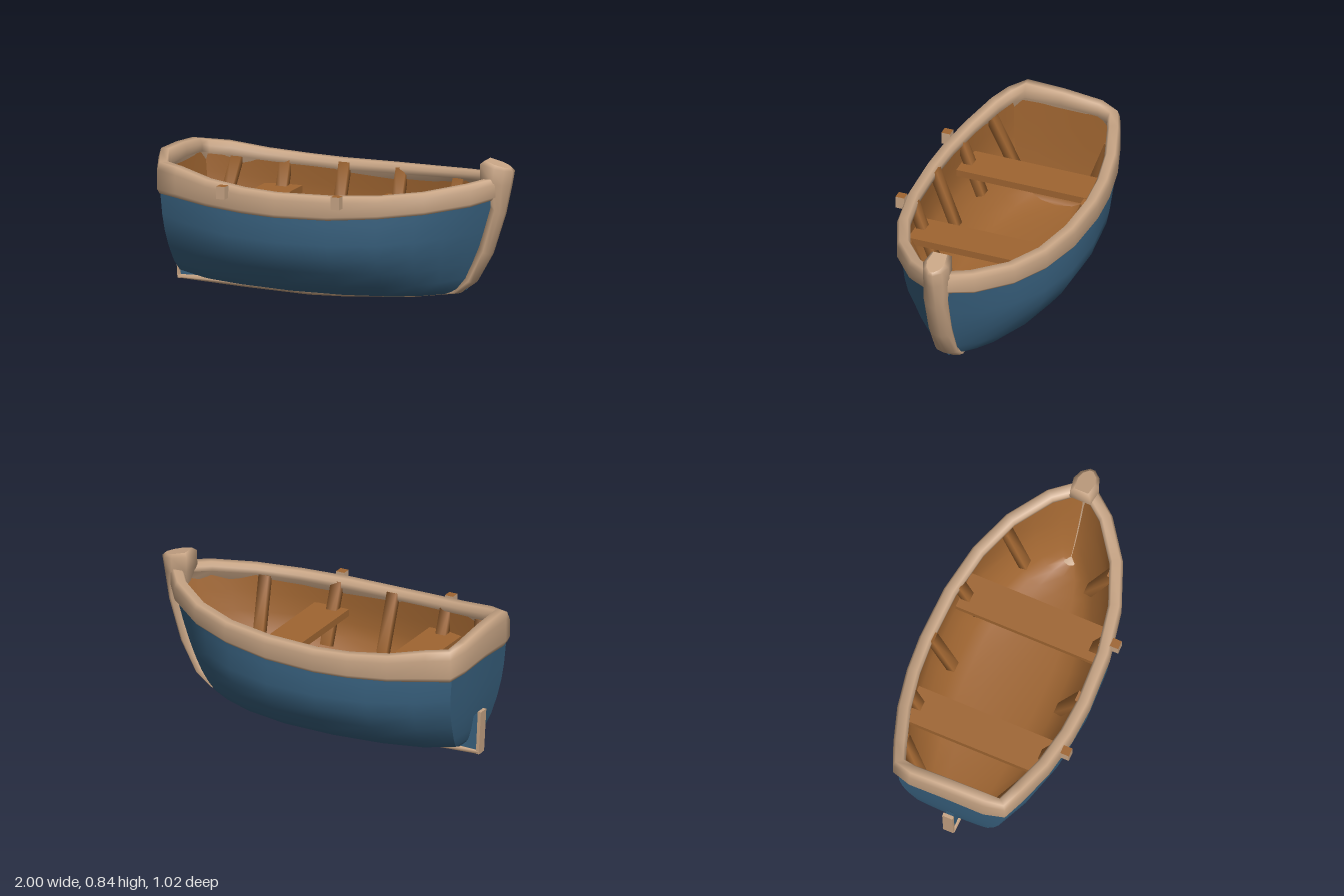
import * as THREE from 'three';

const paint = (name, color) => {
  const m = new THREE.MeshStandardMaterial({ color, side: THREE.DoubleSide });
  m.name = name;
  return m;
};
const V = (x, y, z) => new THREE.Vector3(x, y, z);
const lerp = THREE.MathUtils.lerp;

// Skin a list of equal-length cross-sections; closed rings are capped at both ends
function loft(rings, closed = false) {
  const n = rings[0].length, pos = [], idx = [];
  const add = (p) => pos.push(p.x, p.y, p.z);
  rings.forEach((r) => r.forEach(add));
  for (let i = 0; i < rings.length - 1; i++) {
    for (let j = 0; j < (closed ? n : n - 1); j++) {
      const a = i * n + j, b = i * n + ((j + 1) % n);
      idx.push(a, b, b + n, a, b + n, a + n);
    }
  }
  if (closed) {
    [rings[0], rings[rings.length - 1]].forEach((r, end) => {
      const base = pos.length / 3;
      r.forEach(add);
      for (let j = 1; j < n - 1; j++) {
        idx.push(base, base + (end ? j : j + 1), base + (end ? j + 1 : j));
      }
    });
  }
  const g = new THREE.BufferGeometry();
  g.setAttribute('position', new THREE.Float32BufferAttribute(pos, 3));
  g.setIndex(idx);
  g.computeVertexNormals();
  return g;
}

// Hull stations: bottom x, top x, half width, bottom y, top y, sharpness, rake curve
const STATIONS = [
  [-0.87, -0.975, 0.31, 0.08, 0.68, 0.1, 0.4],
  [-0.72, -0.77, 0.385, 0.06, 0.655, 0.04, 0.6],
  [-0.5, -0.5, 0.45, 0.055, 0.62, 0, 0.8],
  [-0.2, -0.2, 0.483, 0.05, 0.61, 0, 0.8],
  [0.1, 0.1, 0.475, 0.052, 0.615, 0, 0.8],
  [0.34, 0.37, 0.425, 0.06, 0.63, 0.05, 0.8],
  [0.5, 0.57, 0.342, 0.07, 0.65, 0.12, 0.8],
  [0.6, 0.72, 0.255, 0.08, 0.67, 0.22, 0.75],
  [0.67, 0.85, 0.138, 0.09, 0.69, 0.4, 0.7],
  [0.71, 0.94, 0.035, 0.1, 0.7, 0.6, 0.68],
];
// Half section: relative width, relative height
const SECTION = [
  [0, 0], [0.36, 0.01], [0.57, 0.05], [0.72, 0.15], [0.86, 0.3],
  [0.96, 0.45], [1, 0.6], [0.995, 0.8], [0.98, 1],
];
const TOP = SECTION.length - 1;
const LAST = STATIONS.length - 1;

// Point on a station; side runs from -1 to 1 and inset moves the skin inward
function hullPoint(i, j, side, inset) {
  const [xb, xt, w, yb, yt, sharp, rake] = STATIONS[i];
  const [sw, h] = SECTION[j];
  const width = side * lerp(sw, Math.pow(h, 0.8), sharp) * Math.max(w - inset, 0.005);
  let shift = 0;
  if (i === 0) shift = inset + 0.15 * width * width; // slightly bowed transom
  if (i === LAST) shift = -inset;
  return V(lerp(xb, xt, Math.pow(h, rake)) + shift, lerp(yb + inset, yt, h), width);
}
function shell(inset) {
  return loft(STATIONS.map((_, i) => {
    const ring = [];
    for (let j = -TOP; j <= TOP; j++) ring.push(hullPoint(i, Math.abs(j), Math.sign(j), inset));
    return ring;
  }));
}
function transom(inset) {
  return loft(SECTION.map((_, j) => [1, 0.5, 0, -0.5, -1].map((side) => hullPoint(0, j, side, inset))));
}

// Rail path: x, half width, bottom y, top y, from bow to stern centre
const RAIL = [
  [0.89, 0.045, 0.635, 0.75], [0.8, 0.165, 0.61, 0.733], [0.6, 0.312, 0.58, 0.7],
  [0.37, 0.403, 0.555, 0.677], [0.1, 0.453, 0.533, 0.665], [-0.2, 0.465, 0.525, 0.66],
  [-0.4, 0.452, 0.53, 0.668], [-0.62, 0.412, 0.54, 0.688], [-0.82, 0.348, 0.555, 0.725],
  [-0.935, 0.303, 0.56, 0.735], [-0.962, 0.215, 0.58, 0.773], [-0.963, 0, 0.59, 0.78],
];
// The rail hangs low outside and is a shallow lip inside
const RAIL_SECTION = [
  [-1, 0.6], [-1, 0.82], [-0.6, 1], [0.6, 1], [1, 0.75], [1, 0.15], [0.6, 0], [-0.1, 0], [-0.6, 0.55],
];
function railGeometry() {
  const path = [...RAIL, ...RAIL.slice(0, -1).reverse().map(([x, z, b, t]) => [x, -z, b, t])];
  return loft(path.map(([x, z, b, t], i) => {
    const p = path[Math.max(i - 1, 0)], q = path[Math.min(i + 1, path.length - 1)];
    const n = V(q[1] - p[1], 0, p[0] - q[0]).normalize();
    const top = x < -0.94 ? t + 0.07 * z : t; // stern board tilts a little
    return RAIL_SECTION.map(([a, h]) => V(x + n.x * a * 0.037, lerp(b, top, h), z + n.z * a * 0.037));
  }), true);
}

// Stem and keel: outer x, outer y, inner x, inner y, half width
const STEM = [
  [0.985, 0.805, 0.845, 0.843, 0.05], [1, 0.79, 0.825, 0.825, 0.074],
  [0.985, 0.71, 0.825, 0.74, 0.076], [0.95, 0.55, 0.88, 0.6, 0.07],
  [0.875, 0.32, 0.815, 0.36, 0.068], [0.78, 0.155, 0.735, 0.18, 0.066],
  [0.69, 0.088, 0.65, 0.105, 0.062], [0.4, 0.04, 0.4, 0.078, 0.055],
  [0, 0.008, 0, 0.063, 0.052], [-0.2, 0, -0.2, 0.06, 0.052],
  [-0.6, 0.01, -0.6, 0.062, 0.048], [-0.965, 0.025, -0.965, 0.05, 0.035],
];
const STEM_SECTION = [[0, 0.8], [0.5, 1], [0.8, 0.75], [1, 0.2], [1, -0.2], [0.8, -0.75], [0.5, -1], [0, -0.8]];

// Ribs: top x, top half width, bottom x
const RIBS = [[-0.775, 0.345, -0.825], [-0.52, 0.425, -0.52], [-0.18, 0.44, -0.18], [0.16, 0.43, 0.16], [0.545, 0.315, 0.515]];

// Short straight brace leaning inward from under the rail
function ribGeometry([xt, zt, xb], side) {
  const ring = (x, y, z) => [[-0.03, -0.022], [0.03, -0.022], [0.03, 0.022], [-0.03, 0.022]]
    .map(([dx, dz]) => V(x + dx, y - dz * 0.4, side * (z + dz)));
  return loft([ring(xt, 0.64, zt), ring(xb, 0.31, zt - 0.125)], true).toNonIndexed();
}

function plate(points, depth) {
  const shape = new THREE.Shape(points.map(([x, y]) => new THREE.Vector2(x, y)));
  return new THREE.ExtrudeGeometry(shape, { depth, bevelEnabled: false }).translate(0, 0, -depth / 2);
}

export function createModel() {
  const blue = paint('blue hull paint', 0x396280);
  const tan = paint('pale trim wood', 0xc8a585);
  const brown = paint('brown inner wood', 0x9f6531);
  const boat = new THREE.Group();
  boat.name = 'rowingBoat';
  const add = (name, geometry, material, x = 0, y = 0, z = 0) => {
    const m = new THREE.Mesh(geometry, material);
    m.name = name;
    m.position.set(x, y, z);
    boat.add(m);
  };

  // Outer and inner skins
  add('outerHull', shell(0), blue);
  add('outerTransom', transom(0), blue);
  add('innerHull', shell(0.03), brown);
  add('innerTransom', transom(0.03), brown);

  // Trim
  add('rail', railGeometry(), tan);
  add('stemAndKeel', loft(STEM.map(([ox, oy, ix, iy, w]) =>
    STEM_SECTION.map(([a, b]) => V(lerp(ix, ox, a), lerp(iy, oy, a), b * w))), true), tan);
  add('skeg', plate([[-0.972, 0.27], [-0.958, 0.04], [-0.6, 0.05], [-0.86, 0.09], [-0.935, 0.25]], 0.045), blue);
  add('sternPost', plate([[-0.982, 0.28], [-0.968, 0.03], [-0.95, 0.03], [-0.962, 0.28]], 0.06), tan);

  // Seats
  for (const x of [-0.525, 0.185]) add('seat', new THREE.BoxGeometry(0.21, 0.04, 0.82), brown, x, 0.48, 0);

  // Ribs on both sides
  for (const rib of RIBS) for (const side of [-1, 1]) add('rib', ribGeometry(rib, side), brown);

  // Oar pegs on the front side, brown on top
  for (const x of [-0.505, 0.168]) {
    add('oarPeg', new THREE.BoxGeometry(0.05, 0.07, 0.05), [tan, tan, brown, tan, tan, tan], x, 0.643, 0.496);
  }

  boat.position.z = -0.012;
  const model = new THREE.Group();
  model.name = 'model';
  model.add(boat);
  return model;
}
